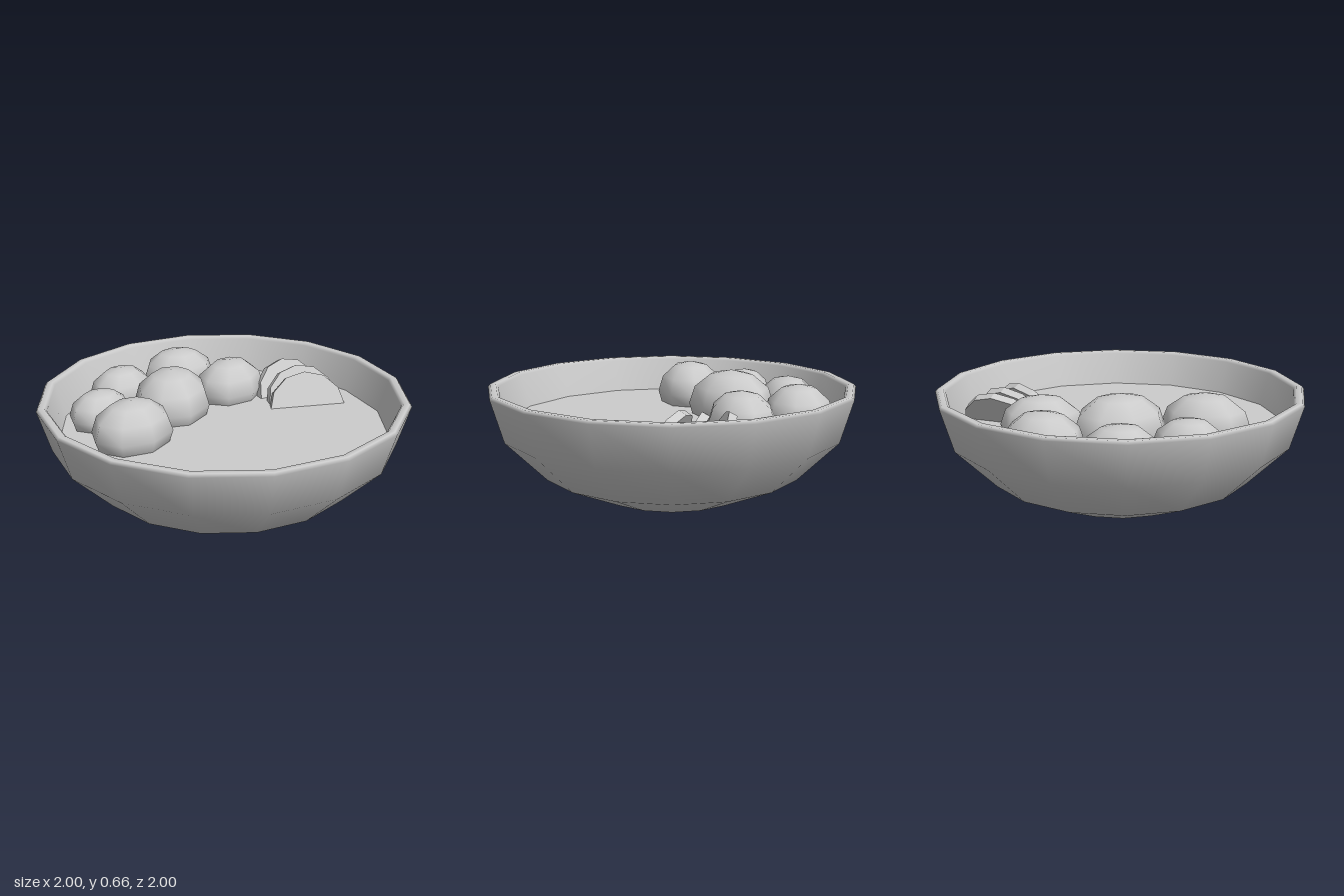
import * as THREE from 'three';

const material = new THREE.MeshStandardMaterial({ color: 0xcccccc });
const flatMaterial = new THREE.MeshStandardMaterial({ color: 0xcccccc, flatShading: true });
const SIDES = 16;
const SOUP_Y = 0.41;

function addMesh(parent, name, geometry, mat = material) {
  const mesh = new THREE.Mesh(geometry, mat);
  mesh.name = name;
  parent.add(mesh);
  return mesh;
}

export function createModel() {
  const model = new THREE.Group();
  model.name = 'soupBowl';

  // Bowl wall: up the outside, over the rounded rim, down to the soup
  const profile = [
    [0.39, 0], [0.71, 0.14], [0.93, 0.36], [0.998, 0.59], [0.985, 0.605],
    [0.955, 0.605], [0.942, 0.59], [0.89, SOUP_Y],
  ].map(([r, y]) => new THREE.Vector2(r, y));
  addMesh(model, 'bowl', new THREE.LatheGeometry(profile, SIDES));

  // Underside of the bowl and surface of the soup
  addMesh(model, 'bowlBase', new THREE.CircleGeometry(0.39, SIDES).rotateX(Math.PI / 2));
  addMesh(model, 'soupSurface', new THREE.CircleGeometry(0.892, SIDES).rotateX(-Math.PI / 2))
    .position.y = SOUP_Y;

  // Dumplings, half sunk: x, z, radius x, radius z, top height, turn
  const dumplings = new THREE.Group();
  dumplings.name = 'dumplings';
  model.add(dumplings);
  const ball = new THREE.SphereGeometry(1, 8, 6);
  [
    [-0.52, -0.43, 0.185, 0.15, 0.60, 0.15],
    [-0.51, -0.11, 0.235, 0.19, 0.648, 0.1],
    [-0.25, -0.66, 0.20, 0.165, 0.605, 0.25],
    [0.15, -0.67, 0.22, 0.185, 0.632, -0.2],
    [-0.12, -0.33, 0.255, 0.215, 0.662, 0.75],
    [0.30, -0.36, 0.225, 0.18, 0.625, 0.25],
  ].forEach(([x, z, rx, rz, top, turn]) => {
    const height = (rx + rz) * 0.41;
    const dumpling = addMesh(dumplings, 'dumpling', ball);
    dumpling.scale.set(rx, height, rz);
    dumpling.rotation.y = turn;
    dumpling.position.set(x, top - height, z);
  });

  // Fan of half-round slices leaning back, straight edge in the soup
  const slices = new THREE.Group();
  slices.name = 'garnish';
  model.add(slices);
  const half = new THREE.Shape();
  half.moveTo(0, 0);
  half.lineTo(0.44, 0);
  for (let i = 1; i <= 6; i++) {
    const a = (i / 6) * Math.PI;
    half.lineTo(0.22 + 0.22 * Math.cos(a), 0.21 * Math.sin(a));
  }
  const sliceGeometry = new THREE.ExtrudeGeometry(half, { depth: 0.045, bevelEnabled: false })
    .translate(0, 0, -0.045)
    .rotateX(-0.5);
  [
    [0.35, -0.03, -0.42],
    [0.39, -0.09, -0.2],
    [0.40, -0.18, -0.02],
  ].forEach(([x, z, turn]) => {
    const slice = addMesh(slices, 'slice', sliceGeometry, flatMaterial);
    slice.position.set(x, SOUP_Y - 0.01, z);
    slice.rotation.y = turn;
  });

  return model;
}
